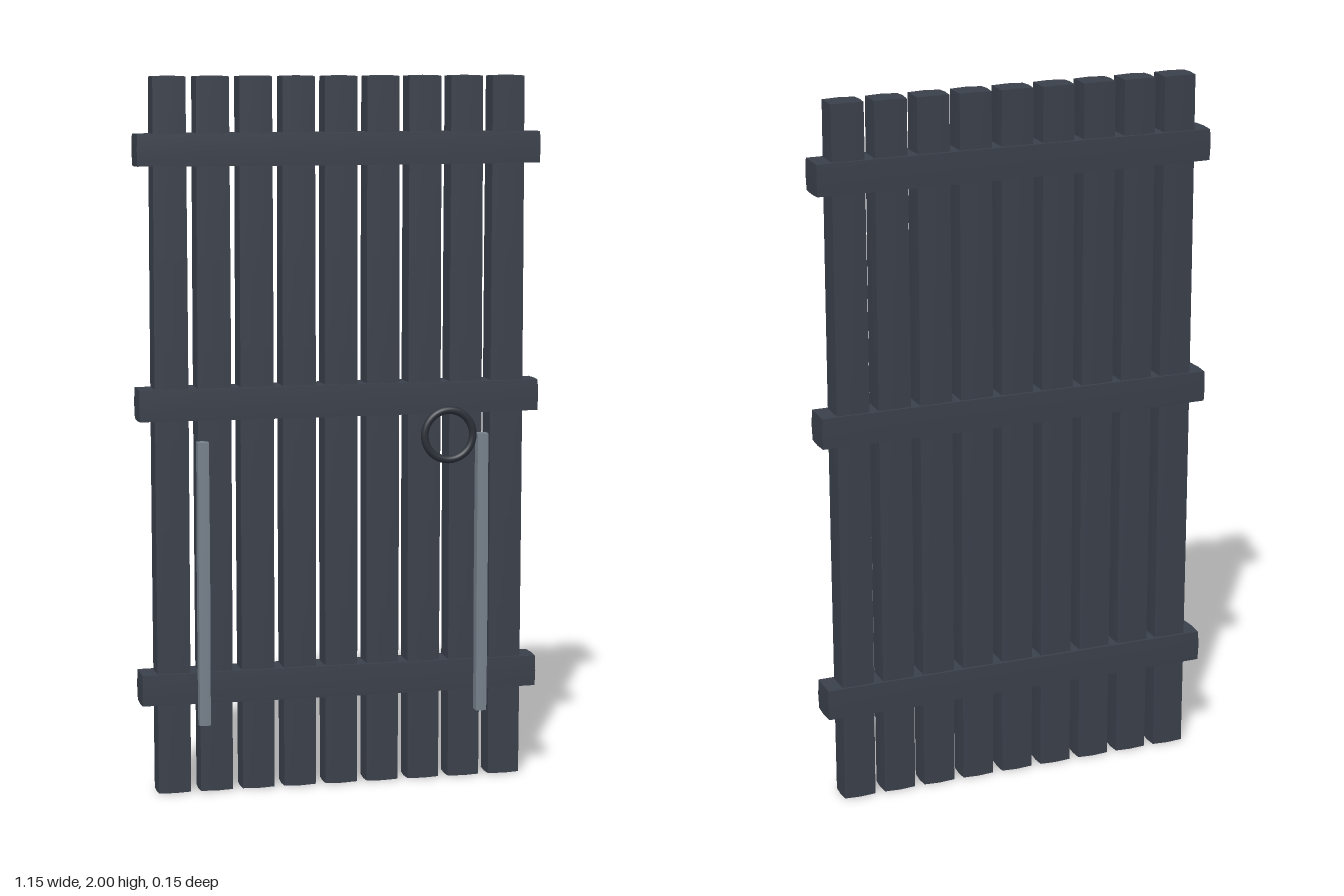
import * as THREE from 'three';

const wood = new THREE.MeshStandardMaterial({ color: 0x3a404b });
wood.name = 'darkSlateWood';
const steel = new THREE.MeshStandardMaterial({ color: 0x77818b });
steel.name = 'greySteel';
const iron = new THREE.MeshStandardMaterial({ color: 0x2b3038 });
iron.name = 'darkIron';

// Beam whose faces swell slightly towards their middles, edges kept sharp
function beam(w, h, d, bulge) {
  const seg = (s) => (s > 0.5 ? 8 : 2);
  const geo = new THREE.BoxGeometry(w, h, d, seg(w), seg(h), seg(d));
  const pos = geo.attributes.position;
  const size = [w, h, d];
  for (let i = 0; i < pos.count; i++) {
    const p = [pos.getX(i), pos.getY(i), pos.getZ(i)];
    const t = p.map((v, k) => (2 * v) / size[k]);
    const q = p.map((v, k) => {
      const [a, b] = [0, 1, 2].filter((n) => n !== k);
      return v + t[k] * bulge * (1 - (t[a] ** 2 + t[b] ** 2) / 2);
    });
    pos.setXYZ(i, ...q);
  }
  geo.computeVertexNormals();
  return geo;
}

export function createModel() {
  const gate = new THREE.Group();
  gate.name = 'plankGate';
  const add = (name, geo, mat, x, y, z) => {
    const mesh = new THREE.Mesh(geo, mat);
    mesh.name = name;
    mesh.position.set(x, y, z);
    gate.add(mesh);
  };

  // Nine upright planks with narrow gaps
  const plank = beam(0.091, 1.996, 0.073, 0.003);
  for (let i = -4; i <= 4; i++) add('plank', plank, wood, i * 0.12, 1, -0.028);

  // Three cross rails wrapping the planks front and back
  const rail = beam(1.14, 0.087, 0.09, 0.003);
  for (const y of [0.3, 1.1, 1.8]) add('crossRail', rail, wood, 0, y, -0.028);

  // Steel bars standing off the front
  const bar = beam(0.03, 0.798, 0.03, 0.002);
  for (const side of [-1, 1]) add('steelBar', bar, steel, side * 0.4, 0.6, 0.039);

  // Ring handle
  add('ringHandle', new THREE.TorusGeometry(0.07, 0.011, 12, 40), iron, 0.298, 1.0, 0.06);
  return gate;
}
